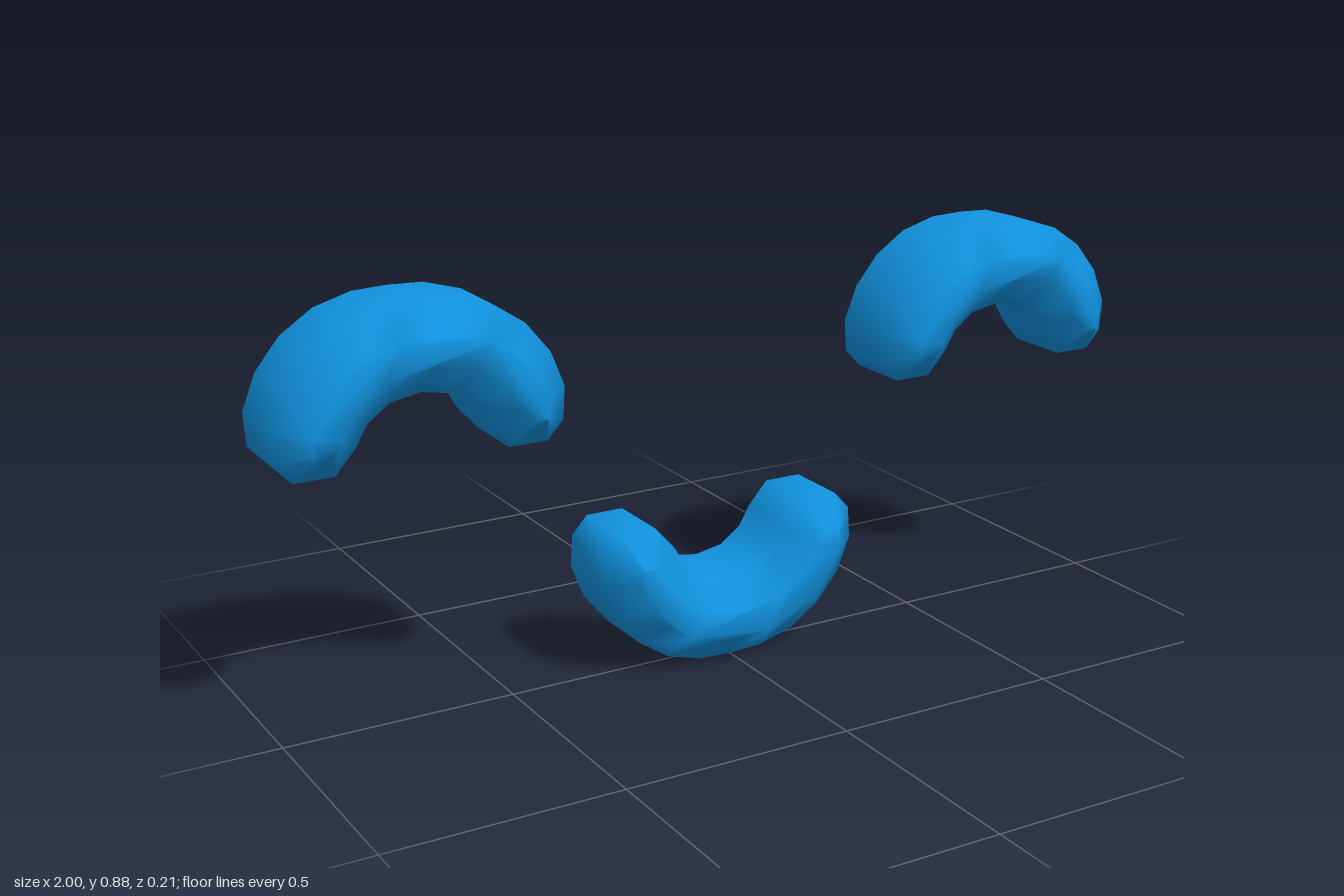
import * as THREE from 'three';

const BACK = -0.105, SHOULDER = 0.043, FRONT = 0.105, INSET = 0.0625;

// Right half of the arch outline, from the crown round the foot to the inner arc
const half = [
  [0, 0.322], [0.075, 0.319], [0.155, 0.296], [0.225, 0.249], [0.278, 0.184],
  [0.3075, 0.109], [0.303, 0.039], [0.267, 0], [0.182, 0],
  [0.137, 0.051], [0.112, 0.094], [0.064, 0.129], [0, 0.141],
];

// Full counter-clockwise outline
function archOutline() {
  const mirrored = half.slice(1, -1).reverse().map(([x, y]) => [-x, y]);
  return [...half, ...mirrored].reverse().map(([x, y]) => new THREE.Vector2(x, y));
}

// Move every corner inwards by the same distance from its two edges
function insetOutline(points, distance) {
  const n = points.length;
  const edgeNormal = (a, b) => new THREE.Vector2(b.y - a.y, a.x - b.x).normalize();
  return points.map((p, i) => {
    const n1 = edgeNormal(points[(i + n - 1) % n], p);
    const n2 = edgeNormal(p, points[(i + 1) % n]);
    const miter = n1.clone().add(n2).normalize();
    return p.clone().addScaledVector(miter, -distance / miter.dot(n1));
  });
}

// Hollow arch: side wall, bevel and front face, open at the back
function archGeometry() {
  const outer = archOutline();
  const inner = insetOutline(outer, INSET);
  const n = outer.length;
  const rings = [[outer, BACK], [outer, SHOULDER], [inner, FRONT]];
  const positions = [], index = [];
  for (const [ring, z] of rings) for (const p of ring) positions.push(p.x, p.y, z);
  for (let r = 0; r < rings.length - 1; r++) {
    for (let i = 0; i < n; i++) {
      const a = r * n + i, b = r * n + (i + 1) % n;
      index.push(a, b, b + n, a, b + n, a + n);
    }
  }
  for (const tri of THREE.ShapeUtils.triangulateShape(inner, [])) {
    index.push(...tri.map((i) => i + 2 * n));
  }
  const geometry = new THREE.BufferGeometry();
  geometry.setAttribute('position', new THREE.Float32BufferAttribute(positions, 3));
  geometry.setIndex(index);
  geometry.computeVertexNormals();
  return geometry;
}

export function createModel() {
  const model = new THREE.Group();
  model.name = 'smilingFace';
  const blue = new THREE.MeshStandardMaterial({ color: 0x1090dc, side: THREE.DoubleSide });
  blue.name = 'blue';
  const geometry = archGeometry();

  const addArch = (name, x, y, turn) => {
    const mesh = new THREE.Mesh(geometry, blue);
    mesh.name = name;
    mesh.position.set(x, y, 0);
    mesh.rotation.z = turn;
    model.add(mesh);
  };

  addArch('leftEye', 0.6925, 0.556, 0);
  addArch('rightEye', -0.6925, 0.556, 0);
  // The mouth is the same arch upside down
  addArch('mouth', 0, 0.323, Math.PI);
  return model;
}
